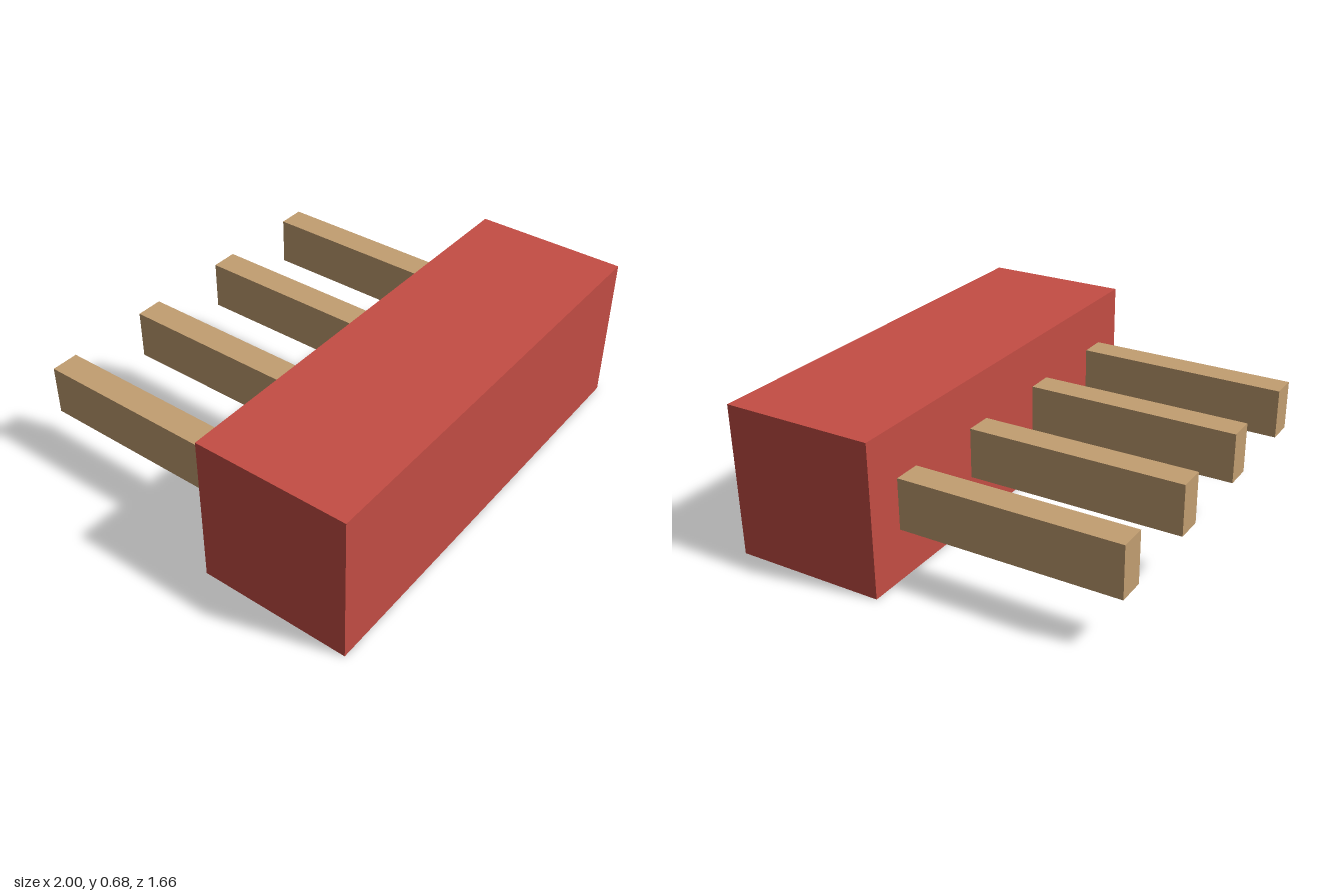
import * as THREE from 'three';

export function createModel() {
  const group = new THREE.Group();
  const red = new THREE.MeshStandardMaterial({ color: 0xc44d44 });
  red.name = 'red';
  const tan = new THREE.MeshStandardMaterial({ color: 0xc29e71 });
  tan.name = 'tan';

  // Main block
  const block = new THREE.Mesh(new THREE.BoxGeometry(2, 0.68, 0.68), red);
  block.name = 'block';
  block.position.set(0, 0.34, 0.49);
  group.add(block);

  // Row of four evenly spaced prongs reaching back from the block
  const prongGeometry = new THREE.BoxGeometry(0.125, 0.228, 0.98);
  for (let i = 0; i < 4; i++) {
    const prong = new THREE.Mesh(prongGeometry, tan);
    prong.name = `prong${i + 1}`;
    prong.position.set((i - 1.5) * 0.51, 0.342, -0.34);
    group.add(prong);
  }
  return group;
}
